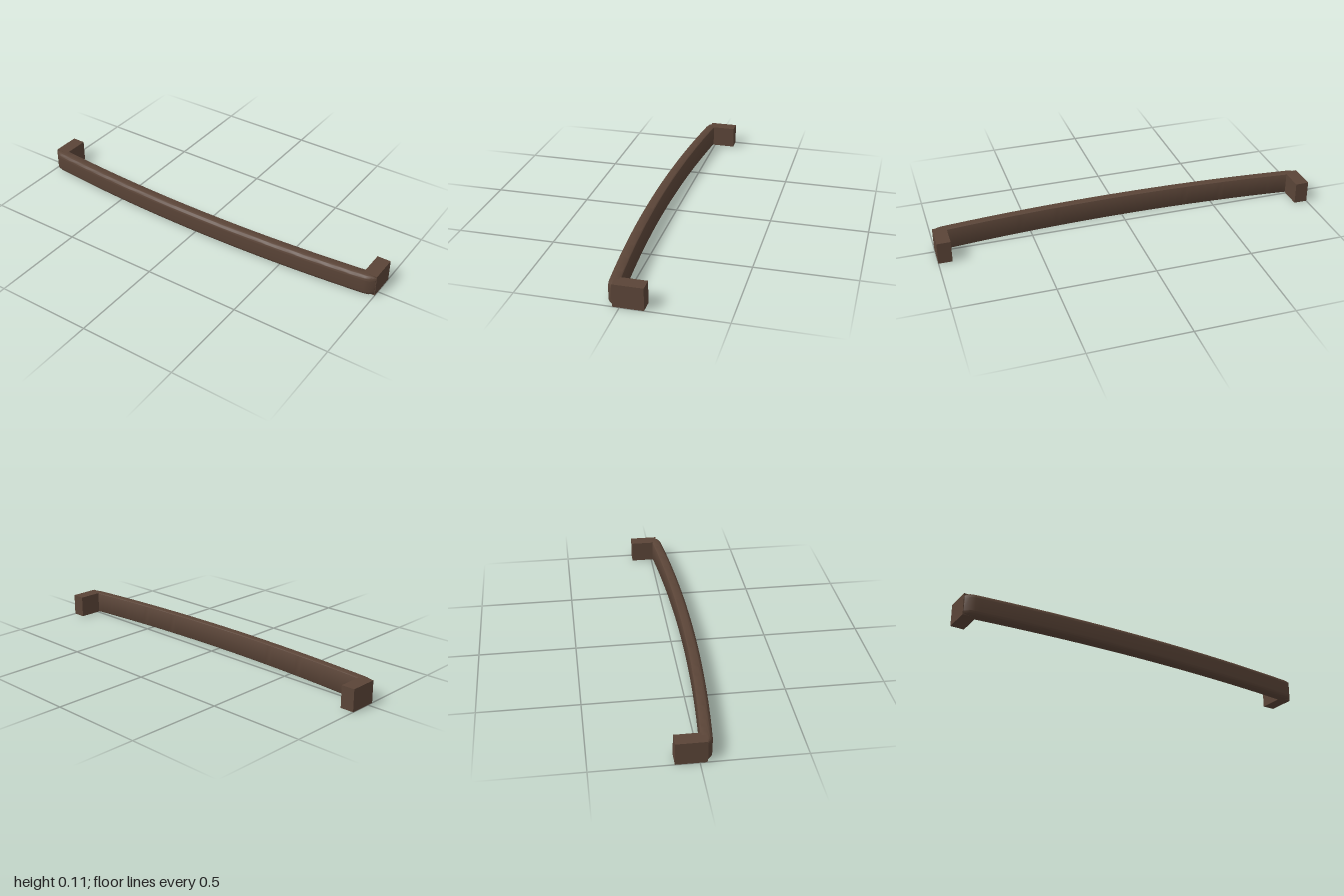
import * as THREE from 'three';
import { toCreasedNormals } from 'three/addons/utils/BufferGeometryUtils.js';

const HEIGHT = 0.113;
const THICK = 0.057;

// Cross-section of the grip: soft front edges, tighter back edges (front is -x here)
function gripSection() {
  const h = HEIGHT / 2, w = THICK / 2, rf = 0.024, rb = 0.007;
  const s = new THREE.Shape();
  s.moveTo(-w + rf, -h);
  s.lineTo(w - rb, -h);
  s.absarc(w - rb, -h + rb, rb, -Math.PI / 2, 0);
  s.lineTo(w, h - rb);
  s.absarc(w - rb, h - rb, rb, 0, Math.PI / 2);
  s.lineTo(-w + rf, h);
  s.absarc(-w + rf, h - rf, rf, Math.PI / 2, Math.PI);
  s.lineTo(-w, -h + rf);
  s.absarc(-w + rf, -h + rf, rf, Math.PI, Math.PI * 1.5);
  return s;
}

export function createModel() {
  const group = new THREE.Group();
  group.name = 'pullHandle';
  const material = new THREE.MeshStandardMaterial({ color: 0x5a4437 });

  // Grip: extruded along x, bowed forward, with eased ends
  const geo = new THREE.ExtrudeGeometry(gripSection(), {
    depth: 2, steps: 80, curveSegments: 6, bevelEnabled: false,
  });
  geo.translate(0, 0, -1).rotateY(Math.PI / 2);
  const p = geo.attributes.position;
  for (let i = 0; i < p.count; i++) {
    const x = p.getX(i);
    const t = Math.max(0, (Math.abs(x) - 0.97) / 0.03);
    const y = p.getY(i) * (1 - 0.14 * t);
    const z = p.getZ(i) * (1 - 0.75 * t);
    p.setXYZ(i, x * (1 - 0.003 * t), y + HEIGHT / 2, z + 0.0845 - 0.055 * x * x);
  }
  const grip = new THREE.Mesh(toCreasedNormals(geo, 0.6), material);
  grip.name = 'grip';
  group.add(grip);

  // Square mounting posts at both ends
  for (const side of [1, -1]) {
    const post = new THREE.Mesh(new THREE.BoxGeometry(0.07, HEIGHT, 0.147), material);
    post.name = side > 0 ? 'leftPost' : 'rightPost';
    post.position.set(side * 0.965, HEIGHT / 2, -0.0395);
    group.add(post);
  }
  return group;
}
